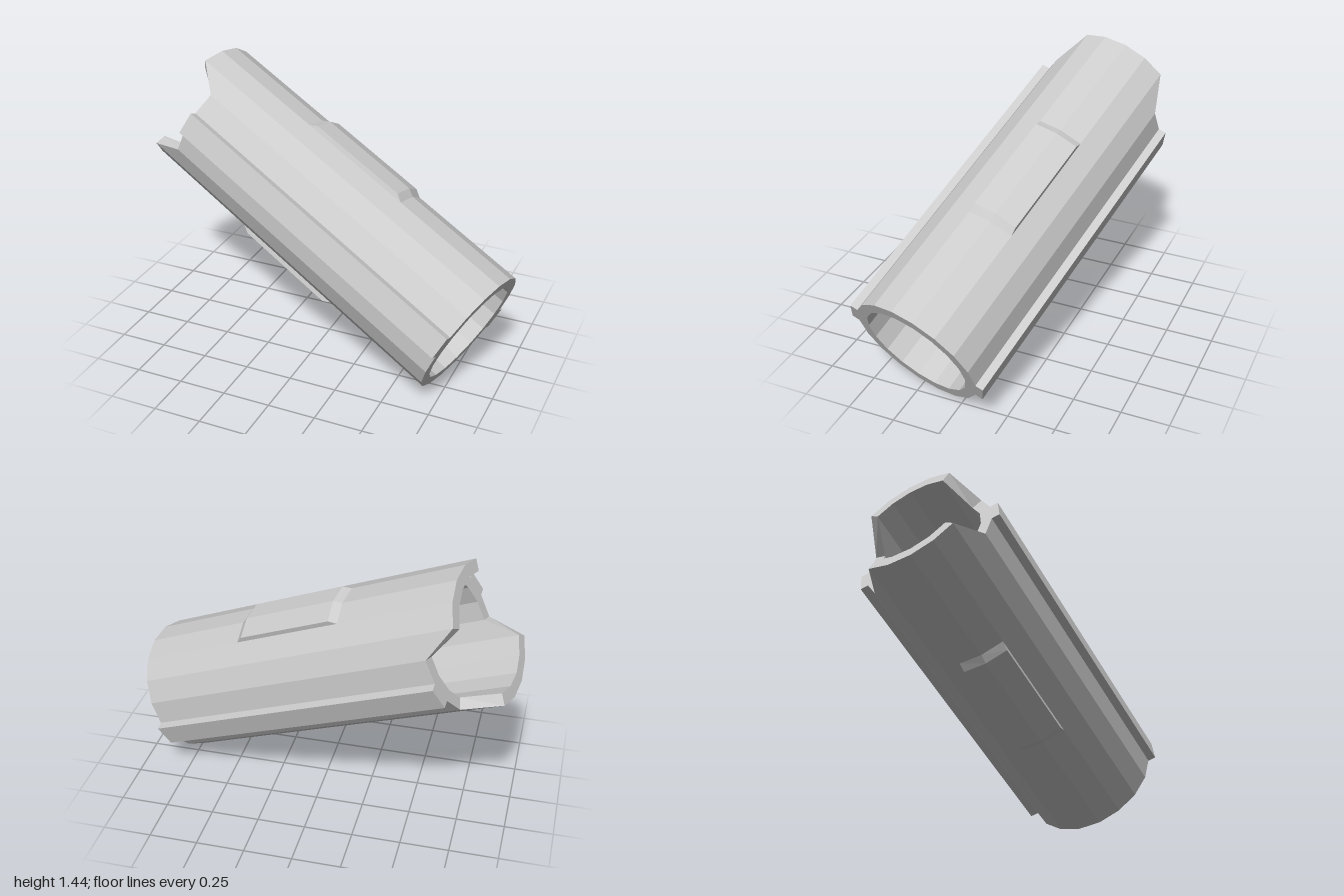
import * as THREE from 'three';

const R = 0.353, INNER = 0.293, LENGTH = 1.908, NOTCH = 0.17;
const SIDES = 18, STEP = 360 / SIDES;
const RIDGE_ANGLES = [20, 200], PAD_ANGLES = [110, 290];

const material = new THREE.MeshStandardMaterial({ color: 0xcccccc, flatShading: true });

// Point on a ring around the local x axis
function ringPoint(x, radius, degrees) {
  const a = THREE.MathUtils.degToRad(degrees);
  return [x, radius * Math.sin(a), radius * Math.cos(a)];
}

function quad(out, a, b, c, d) {
  out.push(...a, ...b, ...c, ...a, ...c, ...d);
}

function meshFrom(name, positions) {
  const geometry = new THREE.BufferGeometry();
  geometry.setAttribute('position', new THREE.Float32BufferAttribute(positions, 3));
  geometry.computeVertexNormals();
  const mesh = new THREE.Mesh(geometry, material);
  mesh.name = name;
  return mesh;
}

// Thick-walled tube; two notches centred on the ridges leave two lobes at one end
function buildTube() {
  const sections = [];
  for (let i = 0; i < SIDES; i++) {
    const angle = 10 + i * STEP;
    const fromRidge = Math.abs(((angle - 20 + 90 + 360) % 180) - 90);
    const start = fromRidge < 35 ? NOTCH : 0;
    sections.push([
      ringPoint(start, R, angle), ringPoint(LENGTH, R, angle),
      ringPoint(LENGTH, INNER, angle), ringPoint(start, INNER, angle),
    ]);
  }
  const out = [];
  for (let i = 0; i < SIDES; i++) {
    const p = sections[i], q = sections[(i + 1) % SIDES];
    for (let j = 0; j < 4; j++) {
      const k = (j + 1) % 4;
      quad(out, p[j], p[k], q[k], q[j]);
    }
  }
  return meshFrom('tube', out);
}

// Long rib, one facet wide
function buildRidge(angle) {
  const half = THREE.MathUtils.degToRad(STEP / 2);
  const height = 0.042, length = LENGTH - NOTCH;
  const geometry = new THREE.BoxGeometry(length, 2 * R * Math.sin(half), height);
  geometry.translate(NOTCH + length / 2, 0, R * Math.cos(half) + height / 2);
  const mesh = new THREE.Mesh(geometry, material);
  mesh.name = 'sideRidge';
  mesh.rotation.x = -THREE.MathUtils.degToRad(angle);
  return mesh;
}

// Shallow raised panel, two facets wide, with sloped ends
function buildPad(angle) {
  const x0 = 0.64, x1 = 1.27, bevel = 0.04, top = R + 0.023;
  const sections = [-1, 0, 1].map((k) => {
    const base = angle + k * STEP, upper = angle + k * (STEP - 1.5);
    return [
      ringPoint(x0, R, base), ringPoint(x0 + bevel, top, upper),
      ringPoint(x1 - bevel, top, upper), ringPoint(x1, R, base),
    ];
  });
  const out = [];
  for (let i = 0; i < 2; i++) {
    const p = sections[i], q = sections[i + 1];
    for (let j = 0; j < 3; j++) quad(out, p[j], p[j + 1], q[j + 1], q[j]);
  }
  quad(out, ...[...sections[0]].reverse());
  quad(out, ...sections[2]);
  return meshFrom('raisedPad', out);
}

export function createModel() {
  const sleeve = new THREE.Group();
  sleeve.name = 'sleeve';
  sleeve.add(buildTube());
  RIDGE_ANGLES.forEach((a) => sleeve.add(buildRidge(a)));
  PAD_ANGLES.forEach((a) => sleeve.add(buildPad(a)));

  // Tilt the sleeve: its axis runs right, down and slightly forward
  const axis = new THREE.Vector3(0.881, -0.421, 0.213).normalize();
  const side = new THREE.Vector3().crossVectors(axis, new THREE.Vector3(0, 1, 0)).normalize();
  const up = new THREE.Vector3().crossVectors(side, axis);
  sleeve.quaternion.setFromRotationMatrix(new THREE.Matrix4().makeBasis(axis, up, side));
  sleeve.position.set(0, 0.724, -0.01).addScaledVector(axis, -LENGTH / 2);

  const model = new THREE.Group();
  model.name = 'notchedSleeve';
  model.add(sleeve);
  return model;
}
